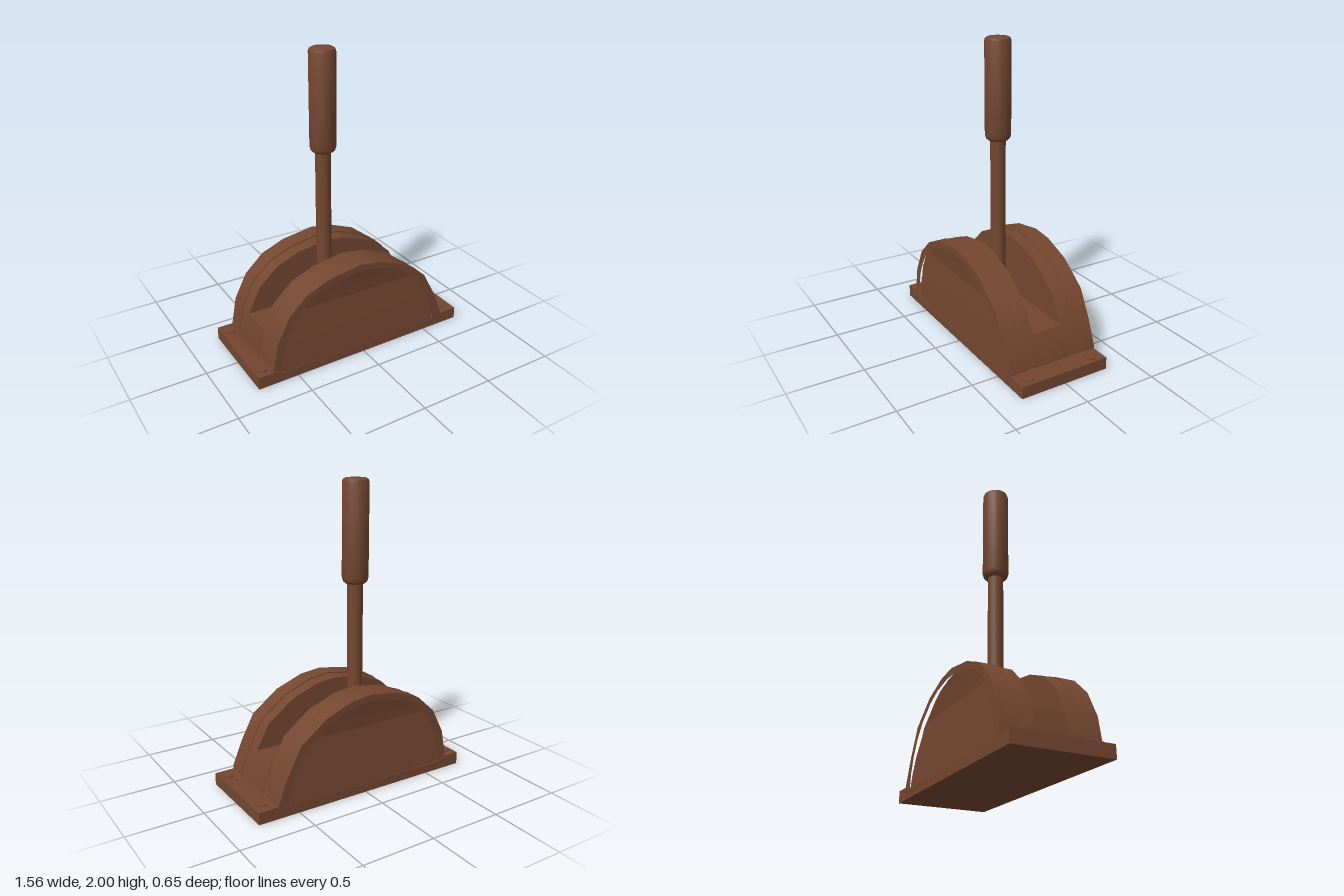
import * as THREE from 'three';
import { toCreasedNormals } from 'three/addons/utils/BufferGeometryUtils.js';

// outer arch, left foot to right foot
const ARCH = [
  [-0.675, 0.04], [-0.67, 0.1], [-0.637, 0.28], [-0.55, 0.45], [-0.42, 0.57], [-0.26, 0.635],
  [-0.04, 0.67], [0.11, 0.652], [0.3, 0.58], [0.485, 0.44], [0.58, 0.26], [0.645, 0.1], [0.65, 0.04],
];
// recessed side panel: height, left x, right x, depth behind the rim
const PANEL = [
  [0.06, -0.615, 0.575, 0.004], [0.15, -0.61, 0.565, 0.01], [0.26, -0.585, 0.53, 0.018],
  [0.36, -0.54, 0.475, 0.026], [0.45, -0.48, 0.4, 0.034], [0.54, -0.38, 0.28, 0.025],
  [0.59, -0.26, 0.17, 0.018], [0.62, -0.06, 0.02, 0.012],
];
const FLOOR = 0.272;

const toShape = (pts) => new THREE.Shape(pts.map(([x, y]) => new THREE.Vector2(x, y)));

// extrudes a shape between two z values, smooth along curves and sharp at edges
function slab(shape, z0, z1) {
  const g = new THREE.ExtrudeGeometry(shape, { depth: z1 - z0, bevelEnabled: false });
  g.translate(0, 0, z0);
  return toCreasedNormals(g, 0.6);
}

// side panel built as strips between the rows
function panelGeometry(side) {
  const pos = [], index = [];
  PANEL.forEach(([y, l, r, d]) => pos.push(l, y, side * (0.32 - d), r, y, side * (0.32 - d)));
  for (let i = 0; i < PANEL.length - 1; i++) {
    const a = i * 2;
    if (side > 0) index.push(a, a + 1, a + 3, a, a + 3, a + 2);
    else index.push(a, a + 3, a + 1, a, a + 2, a + 3);
  }
  const g = new THREE.BufferGeometry();
  g.setAttribute('position', new THREE.Float32BufferAttribute(pos, 3));
  g.setIndex(index);
  return toCreasedNormals(g, 0.05);
}

export function createModel() {
  const model = new THREE.Group();
  model.name = 'floorLever';
  const brown = new THREE.MeshStandardMaterial({ color: 0x744730 });
  brown.name = 'brown';

  const add = (name, geometry, x = 0, y = 0, z = 0) => {
    const mesh = new THREE.Mesh(geometry, brown);
    mesh.name = name;
    mesh.position.set(x, y, z);
    model.add(mesh);
    return mesh;
  };

  // base plate, a little wider at its right end
  const base = slab(toShape([
    [-0.78, 0], [0.78, 0], [0.78, 0.08], [0.64, 0.08], [0.62, 0.06],
    [-0.62, 0.06], [-0.66, 0.085], [-0.78, 0.085],
  ]), -0.32, 0.32);
  const p = base.attributes.position;
  for (let i = 0; i < p.count; i++) p.setZ(i, p.getZ(i) * (1 - 0.02 * p.getX(i)));
  add('basePlate', base);

  // bolt heads
  [[-0.725, 0.095, -0.245], [-0.725, 0.095, 0.25], [0.72, 0.088, -0.225], [0.72, 0.088, 0.235]]
    .forEach(([x, top, z]) => add('bolt', toCreasedNormals(
      new THREE.CylinderGeometry(0.036, 0.036, 0.03, 16), 0.6), x, top - 0.015, z));

  // slot floor: the arch cut off flat
  const low = ARCH.filter(([, y]) => y < FLOOR);
  const left = low.filter(([x]) => x < 0), right = low.filter(([x]) => x > 0);
  add('slotFloor', slab(toShape([...left, [-0.638, FLOOR], [0.575, FLOOR], ...right]), -0.106, 0.106));

  // two arched cheeks, each with a rim and a recessed panel
  const innerArch = ARCH.map(([x, y]) => [x * 0.995, y * 0.988]);
  const rim = toShape(ARCH);
  rim.holes.push(new THREE.Path([
    ...PANEL.map(([y, l]) => new THREE.Vector2(l, y)),
    ...PANEL.map(([y, , r]) => new THREE.Vector2(r, y)).reverse(),
  ]));
  for (const side of [1, -1]) {
    const between = (shape, a, b) => slab(shape, Math.min(a * side, b * side), Math.max(a * side, b * side));
    add('innerCheek', between(toShape(innerArch), 0.106, 0.2));
    add('outerCheek', between(toShape(ARCH), 0.2, 0.275));
    add('cheekRim', between(rim, 0.275, 0.32));
    add('sidePanel', panelGeometry(side));
  }

  // lever: collar, shaft and grip turned in one piece each
  const turned = (pts) => toCreasedNormals(
    new THREE.LatheGeometry(pts.map(([r, y]) => new THREE.Vector2(r, y)), 20), 0.6);
  const lx = -0.093, lz = -0.044;
  add('leverCollar', turned([[0, 0.26], [0.06, 0.26], [0.06, 0.295], [0.05, 0.32], [0, 0.32]]), lx, 0, lz);
  add('leverShaft', turned([[0, 0.27], [0.051, 0.27], [0.051, 1.35], [0, 1.35]]), lx, 0, lz);
  add('leverGrip', turned([
    [0, 1.335], [0.062, 1.335], [0.078, 1.348], [0.086, 1.375],
    [0.086, 1.975], [0.08, 1.992], [0.066, 2], [0, 2],
  ]), lx, 0, lz);

  // pivot pin and its stop block
  add('pivotPin', new THREE.BoxGeometry(0.06, 0.03, 0.11), -0.058, 0.272, 0.02);
  add('pivotBlock', new THREE.BoxGeometry(0.145, 0.075, 0.036), -0.06, 0.295, 0.089);

  return model;
}
